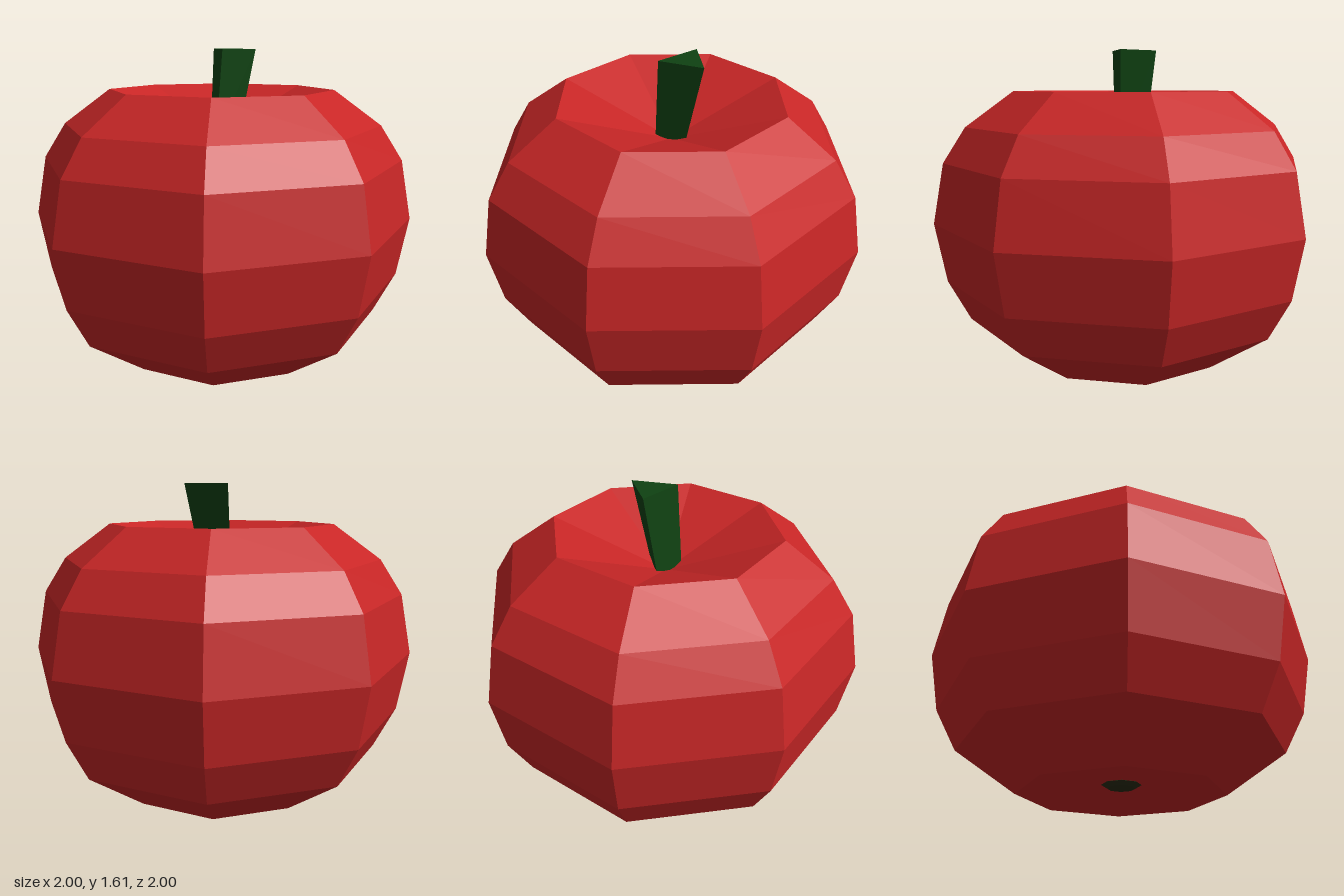
import * as THREE from 'three';

const red = new THREE.MeshStandardMaterial({ name: 'red skin', color: 0xc82626, flatShading: true });
const green = new THREE.MeshStandardMaterial({ name: 'stem green', color: 0x0f4212, flatShading: true });
const olive = new THREE.MeshStandardMaterial({ name: 'dark olive', color: 0x2a2c12, flatShading: true });

function addMesh(group, name, geometry, material) {
  const mesh = new THREE.Mesh(geometry, material);
  mesh.name = name;
  group.add(mesh);
  return mesh;
}

// Closed prism between two triangles, corners counterclockwise from above
function loftTriangles(bottom, top) {
  const positions = [];
  const face = (...corners) => corners.forEach((c) => positions.push(...c));
  for (let i = 0; i < 3; i++) {
    const j = (i + 1) % 3;
    face(bottom[i], bottom[j], top[j]);
    face(bottom[i], top[j], top[i]);
  }
  face(top[0], top[1], top[2]);
  face(bottom[2], bottom[1], bottom[0]);
  const geometry = new THREE.BufferGeometry();
  geometry.setAttribute('position', new THREE.Float32BufferAttribute(positions, 3));
  geometry.computeVertexNormals();
  return geometry;
}

export function createModel() {
  const group = new THREE.Group();
  group.name = 'fruit';

  // Eight-sided body, dimpled at the bottom and hollowed at the top
  const profile = [
    [0, 0.06], [0.52, 0], [0.83, 0.215], [0.943, 0.425], [1, 0.73],
    [0.943, 1.04], [0.828, 1.22], [0.583, 1.4], [0, 1.17],
  ].map(([r, y]) => new THREE.Vector2(r, y));
  addMesh(group, 'body', new THREE.LatheGeometry(profile, 8), red);

  // Leaning three-sided stem, wider at the top
  const stemBottom = [[-0.07, 1.16, 0.045], [0.085, 1.16, 0.045], [0.016, 1.16, -0.1]];
  const stemTop = [[-0.043, 1.605, 0.063], [0.187, 1.605, 0.063], [0.075, 1.605, -0.142]];
  addMesh(group, 'stem', loftTriangles(stemBottom, stemTop), green);

  // Small flattened blossom end underneath
  const blossom = addMesh(group, 'blossomEnd', new THREE.SphereGeometry(0.1, 8, 4), olive);
  blossom.scale.y = 0.25;
  blossom.position.y = 0.047;

  return group;
}
